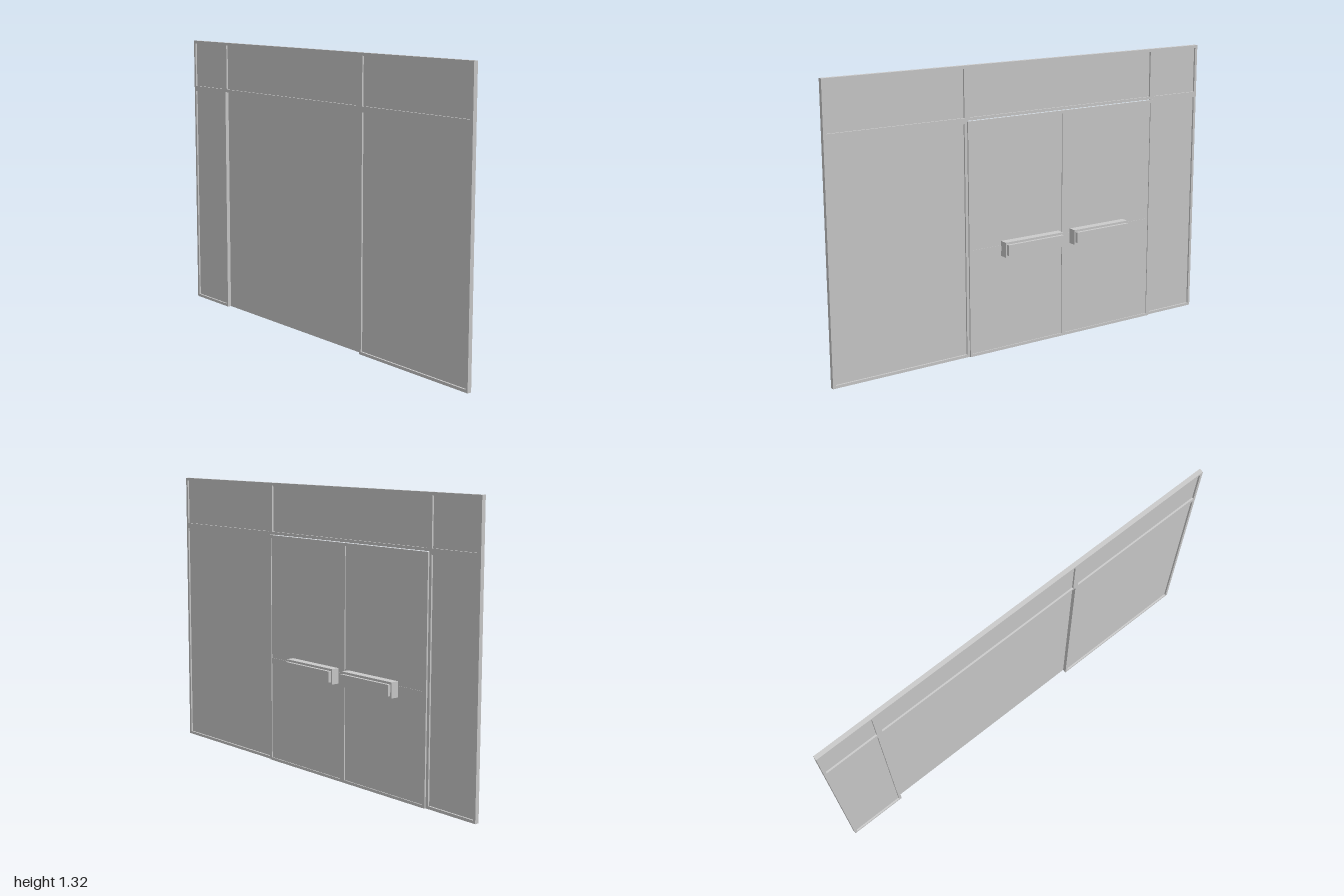
import * as THREE from 'three';

const material = new THREE.MeshStandardMaterial({ color: 0xcccccc, flatShading: true });
const BORDER = 0.013;

// Box given by its limits on each axis
function block(name, x0, x1, y0, y1, z0, z1) {
  const mesh = new THREE.Mesh(new THREE.BoxGeometry(x1 - x0, y1 - y0, z1 - z0), material);
  mesh.position.set((x0 + x1) / 2, (y0 + y1) / 2, (z0 + z1) / 2);
  mesh.name = name;
  return mesh;
}

// Rectangular frame with a hole, extruded from z0 to z1
function frame(name, x0, x1, y0, y1, z0, z1) {
  const rect = (P, a, b, c, d) => {
    const p = new P();
    p.moveTo(a, c);
    p.lineTo(b, c);
    p.lineTo(b, d);
    p.lineTo(a, d);
    p.closePath();
    return p;
  };
  const shape = rect(THREE.Shape, x0, x1, y0, y1);
  shape.holes.push(rect(THREE.Path, x0 + BORDER, x1 - BORDER, y0 + BORDER, y1 - BORDER));
  const geometry = new THREE.ExtrudeGeometry(shape, { depth: z1 - z0, bevelEnabled: false });
  const mesh = new THREE.Mesh(geometry, material);
  mesh.position.z = z0;
  mesh.name = name;
  return mesh;
}

// Frame around a recessed pane
function window_(name, x0, x1, y0, y1) {
  const group = new THREE.Group();
  group.name = name;
  const b = BORDER;
  group.add(
    frame('windowFrame', x0, x1, y0, y1, 0.018, 0.038),
    block('windowPane', x0 + b, x1 - b, y0 + b, y1 - b, 0.026, 0.03)
  );
  return group;
}

// Door leaf: flat front, raised rim, mid rail and push bar on the back
function door(name, x0, x1, barX0, barX1) {
  const group = new THREE.Group();
  group.name = name;
  const b = BORDER;
  group.add(
    frame('doorFrame', x0, x1, 0, 1.08, 0.0105, 0.02),
    block('doorPane', x0 + b, x1 - b, b, 1.08 - b, 0.015, 0.02),
    block('midRail', x0 + b, x1 - b, 0.47, 0.498, 0.0135, 0.016),
    block('pushBarHousing', barX0, barX1, 0.448, 0.518, -0.024, 0.016),
    block('pushBar', barX0 + 0.007, barX1 - 0.007, 0.458, 0.508, -0.0375, -0.024)
  );
  return group;
}

export function createModel() {
  const model = new THREE.Group();
  model.name = 'entranceWall';
  const xs = [-1, -0.72, 0.318, 1];
  const DOOR_TOP = 1.082, TOP = 1.322;

  // Row of transom windows
  ['rightTransom', 'middleTransom', 'leftTransom'].forEach((name, i) =>
    model.add(window_(name, xs[i], xs[i + 1], DOOR_TOP, TOP)));

  // Tall side windows
  model.add(window_('rightSideWindow', xs[0], xs[1], 0, DOOR_TOP));
  model.add(window_('leftSideWindow', xs[2], xs[3], 0, DOOR_TOP));

  // Pair of doors
  const mid = (xs[1] + xs[2]) / 2;
  model.add(door('rightDoor', xs[1], mid, -0.55, -0.235));
  model.add(door('leftDoor', mid, xs[2], -0.17, 0.148));
  return model;
}
